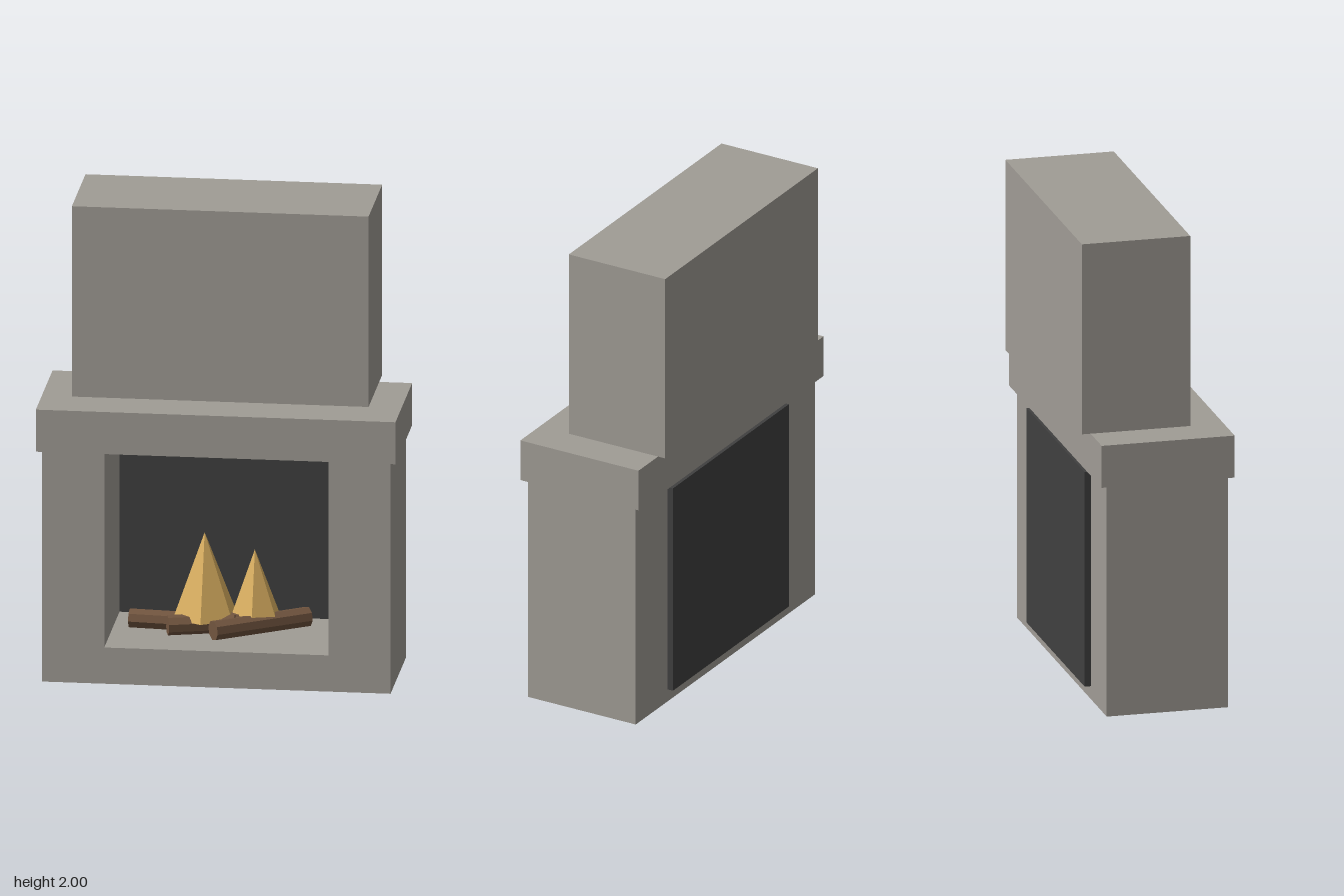
import * as THREE from 'three';

const flat = (name, color) => {
  const m = new THREE.MeshStandardMaterial({ color, flatShading: true });
  m.name = name;
  return m;
};

export function createModel() {
  const root = new THREE.Group();
  root.name = 'fireplace';
  const stone = flat('stone', 0xa09c95);
  const soot = flat('soot', 0x404040);
  const wood = flat('wood', 0x71553f);
  const flame = flat('flame', 0xdcb162);

  const add = (name, geometry, material, x, y, z) => {
    const mesh = new THREE.Mesh(geometry, material);
    mesh.name = name;
    mesh.position.set(x, y, z);
    root.add(mesh);
    return mesh;
  };
  // Box given by its half width, height range and depth range
  const block = (name, material, halfX, y0, y1, z0, z1) =>
    add(name, new THREE.BoxGeometry(halfX * 2, y1 - y0, z1 - z0), material, 0, (y0 + y1) / 2, (z0 + z1) / 2);

  // U-shaped surround: two pillars joined by the hearth
  const outline = new THREE.Shape([
    [-0.72, 0], [0.72, 0], [0.72, 0.99], [0.463, 0.99],
    [0.463, 0.155], [-0.463, 0.155], [-0.463, 0.99], [-0.72, 0.99],
  ].map(([x, y]) => new THREE.Vector2(x, y)));
  add('surround', new THREE.ExtrudeGeometry(outline, { depth: 0.515, bevelEnabled: false }), stone, 0, 0, -0.23);

  block('firebackPanel', soot, 0.465, 0.055, 0.975, -0.256, -0.23);
  block('mantel', stone, 0.743, 0.99, 1.17, -0.257, 0.307);
  block('chimneyBreast', stone, 0.613, 1.185, 2, -0.307, 0.153);

  // Logs: [start x, start z, z run per unit of x]
  const length = 0.44;
  [[-0.385, 0.05, 0.09], [-0.22, 0.135, -0.29], [-0.025, 0.19, -0.69]].forEach(([x, z, slope], i) => {
    const dir = new THREE.Vector3(1, 0, slope).normalize();
    const geometry = new THREE.CylinderGeometry(0.042, 0.042, length, 8);
    const log = add(`log${i + 1}`, geometry, wood, x + dir.x * length / 2, 0.215, z + dir.z * length / 2);
    log.quaternion.setFromUnitVectors(new THREE.Vector3(0, 1, 0), dir);
  });

  // Flames: six-sided cones [x, z, radius, height]
  [[-0.08, 0.025, 0.142, 0.355], [0.125, 0.005, 0.11, 0.283]].forEach(([x, z, r, h], i) => {
    add(`flame${i + 1}`, new THREE.ConeGeometry(r, h, 6), flame, x, 0.23 + h / 2, z);
  });

  return root;
}
